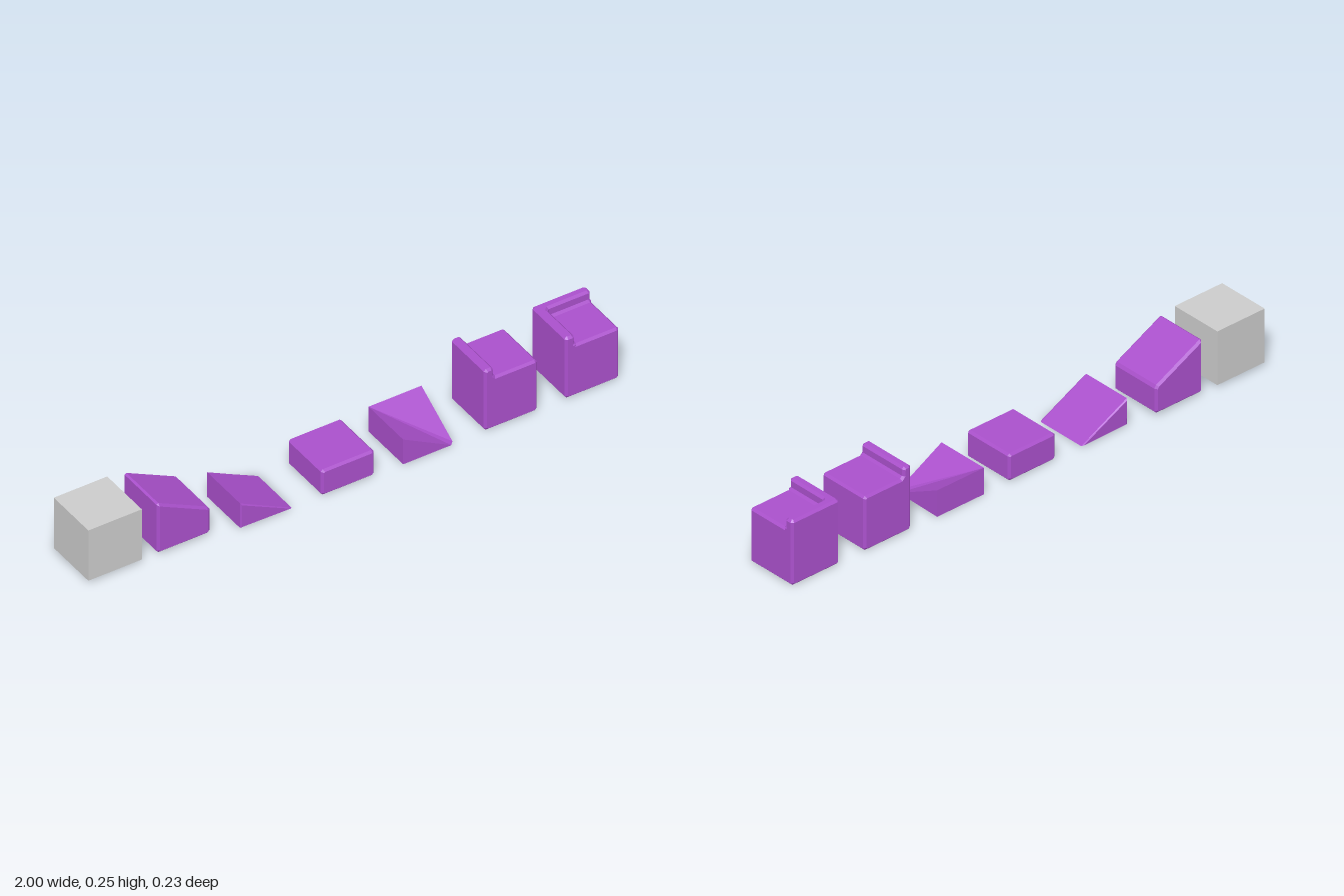
import * as THREE from 'three';

const purple = new THREE.MeshStandardMaterial({ color: 0xaa50cc, flatShading: true });
const grey = new THREE.MeshStandardMaterial({ color: 0xcccccc, flatShading: true });
const BEVEL = 0.008;

// Outline whose corners are each cut by a small chamfer
function chamferedShape(points, cut) {
  const pts = points.map(p => new THREE.Vector2(...p));
  if (!cut) return new THREE.Shape(pts);
  const out = [];
  pts.forEach((p, i) => {
    for (const q of [pts[(i + pts.length - 1) % pts.length], pts[(i + 1) % pts.length]]) {
      out.push(q.clone().sub(p).setLength(cut).add(p));
    }
  });
  return new THREE.Shape(out);
}

// Outline pushed from z = from to z = to, with its end edges bevelled inwards
function bevelledPrism(points, from, to, cut = BEVEL, bevel = BEVEL) {
  return new THREE.ExtrudeGeometry(chamferedShape(points, cut), {
    depth: to - from - 2 * bevel, bevelEnabled: true, bevelSegments: 1,
    bevelSize: bevel, bevelThickness: bevel, bevelOffset: -bevel,
  }).translate(0, 0, from + bevel);
}

// Concave corner ramp: three high corners falling to one low front corner
function cornerRampGeometry(x0, x1, zBack, zFront, h) {
  const bl = [x0, 0, zBack], fl = [x0, 0, zFront], br = [x1, 0, zBack];
  const f1 = [x1 - 0.018, 0, zFront], f2 = [x1 - 0.004, 0, zFront - 0.015];
  const up = p => [p[0], h, p[2]];
  const BL = up(bl), FL = up(fl), BR = up(br);
  const triangles = [
    [BL, FL, f1], [BL, f1, f2], [BL, f2, BR],               // sloping top
    [fl, f1, FL], [f2, br, BR],                             // front and right
    [bl, fl, FL], [bl, FL, BL], [br, bl, BL], [br, BL, BR], // left and back
    [bl, f1, fl], [bl, f2, f1], [bl, br, f2],               // underside
  ];
  const g = new THREE.BufferGeometry();
  g.setAttribute('position', new THREE.Float32BufferAttribute(triangles.flat(2), 3));
  g.computeVertexNormals();
  return g;
}

export function createModel() {
  const model = new THREE.Group();
  const add = (name, geometry, material = purple, parent = model) => {
    const mesh = new THREE.Mesh(geometry, material);
    mesh.name = name;
    parent.add(mesh);
  };
  const back = -0.088, front = 0.115;

  // Reference cube with a bevelled cube just inside it
  const cube = new THREE.Group();
  cube.name = 'cubeBlock';
  model.add(cube);
  add('outerCube', new THREE.BoxGeometry(0.203, 0.203, 0.203).translate(-0.8985, 0.1115, -0.0135), grey, cube);
  add('innerCube', bevelledPrism([[-0.999, 0.011], [-0.798, 0.011], [-0.798, 0.212], [-0.999, 0.212]], -0.114, 0.087), purple, cube);

  // Tall block with a sloping top
  add('tallRamp', bevelledPrism([[-0.738, 0.008], [-0.537, 0.008], [-0.537, 0.11], [-0.738, 0.21]], -0.112, 0.09));

  // Low wedge
  add('lowRamp', bevelledPrism([[-0.438, 0], [-0.243, 0], [-0.438, 0.099]], back, front, 0, 0.005));

  // Half-height block
  add('halfBlock', bevelledPrism([[-0.13, 0], [0.071, 0], [0.071, 0.102], [-0.13, 0.102]], back, front));

  // Corner ramp
  add('cornerRamp', cornerRampGeometry(0.178, 0.379, back, front, 0.1));

  // Block with a raised rim along one side
  add('edgeBlock', bevelledPrism([
    [0.489, 0], [0.69, 0], [0.69, 0.205], [0.523, 0.205], [0.523, 0.245], [0.489, 0.245],
  ], back, front));

  // Block with a raised rim along two sides
  const corner = new THREE.Group();
  corner.name = 'cornerBlock';
  model.add(corner);
  const x0 = 0.796, x1 = 1;
  add('cornerBody', bevelledPrism([[x0, 0], [x1, 0], [x1, 0.205], [x0, 0.205]], back, front), purple, corner);
  const rim = (width, top) => bevelledPrism([
    [x0, -front], [x0 + width, -front], [x0 + width, -back - width],
    [x1, -back - width], [x1, -back], [x0, -back],
  ], 0.1, top).rotateX(-Math.PI / 2);
  add('cornerRim', rim(0.035, 0.245), purple, corner);
  add('cornerRimFillet', rim(0.043, 0.213), purple, corner);

  return model;
}
